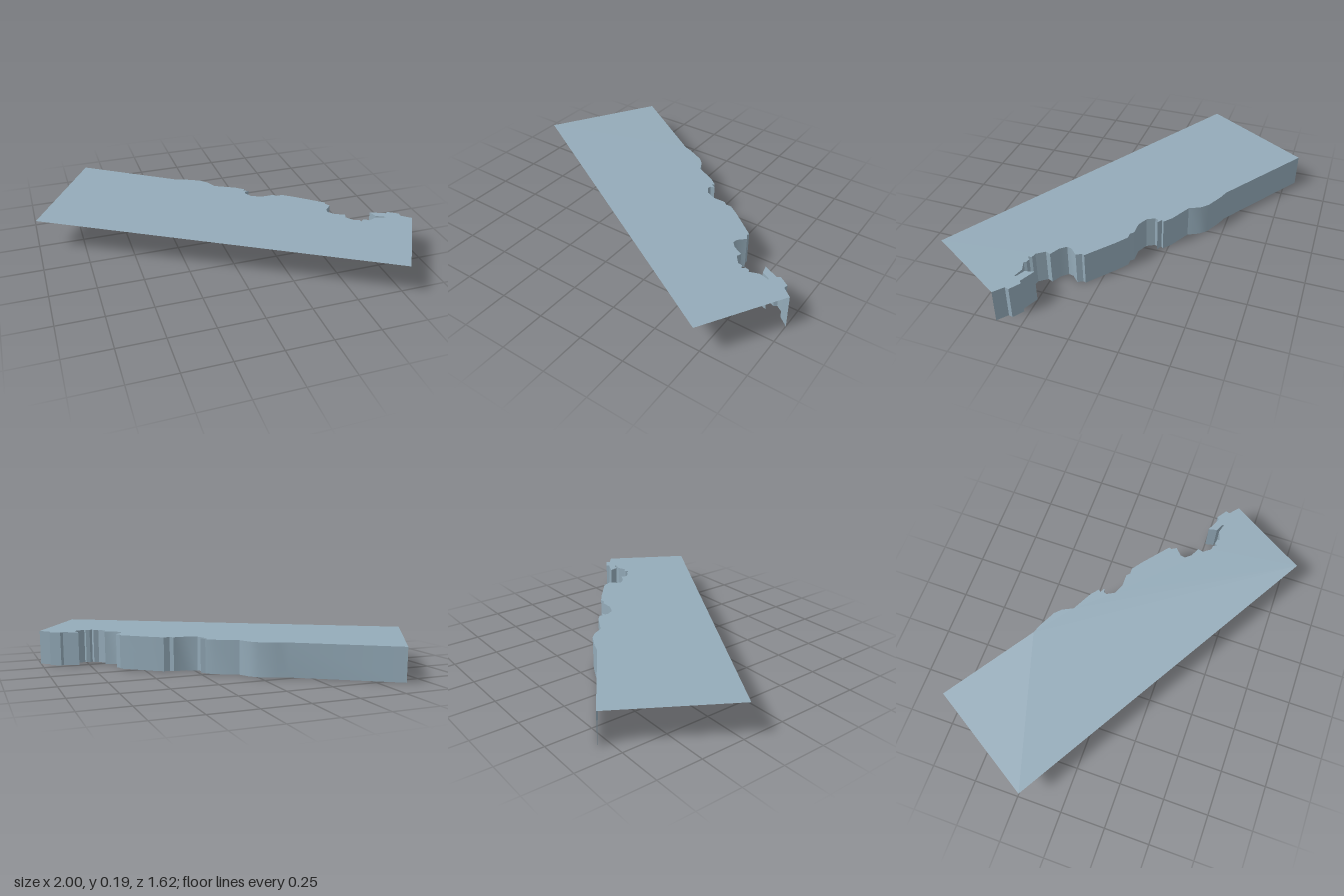
import * as THREE from 'three';
import { toCreasedNormals } from 'three/addons/utils/BufferGeometryUtils.js';

// Ragged edge in plan, as [x, z], from the back corner to the right corner
const ragged = [
  [-0.64, -0.81], [-0.145, -0.48], [-0.09, -0.46], [0, -0.415], [0.035, -0.38], [0.065, -0.32],
  [0.18, -0.26], [0.222, -0.225], [0.21, -0.213], [0.238, -0.197], [0.216, -0.192], [0.21, -0.175],
  [0.233, -0.133], [0.29, -0.107], [0.36, -0.107], [0.377, -0.09], [0.41, -0.09], [0.468, -0.048],
  [0.612, 0.07], [0.607, 0.085], [0.623, 0.112], [0.585, 0.15], [0.58, 0.176], [0.607, 0.208],
  [0.66, 0.235], [0.65, 0.262], [0.682, 0.305], [0.709, 0.31], [0.714, 0.331], [0.73, 0.315],
  [0.751, 0.32], [0.757, 0.333], [0.81, 0.315], [0.864, 0.331], [0.858, 0.32], [0.816, 0.3],
  [0.805, 0.252], [0.885, 0.289], [0.901, 0.278], [0.955, 0.315], [0.949, 0.337], [1, 0.38],
];
const straight = [[0.745, 0.805], [-1, -0.218]];

// The sheet rises very slightly towards the front
const height = (z) => 0.186 + 0.004 * z;

export function createModel() {
  const group = new THREE.Group();
  const slate = new THREE.MeshStandardMaterial({ color: 0x94abb9, side: THREE.DoubleSide });
  slate.name = 'slateBlue';

  // Thin top sheet
  const outline = [...ragged, ...straight].map(([x, z]) => new THREE.Vector2(x, -z));
  const sheetGeometry = new THREE.ShapeGeometry(new THREE.Shape(outline));
  sheetGeometry.rotateX(-Math.PI / 2);
  const p = sheetGeometry.attributes.position;
  for (let i = 0; i < p.count; i++) p.setY(i, height(p.getZ(i)));
  sheetGeometry.computeVertexNormals();
  const sheet = new THREE.Mesh(sheetGeometry, slate);
  sheet.name = 'topSheet';
  group.add(sheet);

  // Upright wall hanging below the ragged edge
  const corners = [];
  for (let i = 0; i < ragged.length - 1; i++) {
    const [ax, az] = ragged[i];
    const [bx, bz] = ragged[i + 1];
    const at = height(az), bt = height(bz);
    corners.push(ax, 0, az, ax, at, az, bx, bt, bz);
    corners.push(ax, 0, az, bx, bt, bz, bx, 0, bz);
  }
  const wallGeometry = new THREE.BufferGeometry();
  wallGeometry.setAttribute('position', new THREE.Float32BufferAttribute(corners, 3));
  const wall = new THREE.Mesh(toCreasedNormals(wallGeometry, 0.6), slate);
  wall.name = 'edgeWall';
  group.add(wall);

  return group;
}
